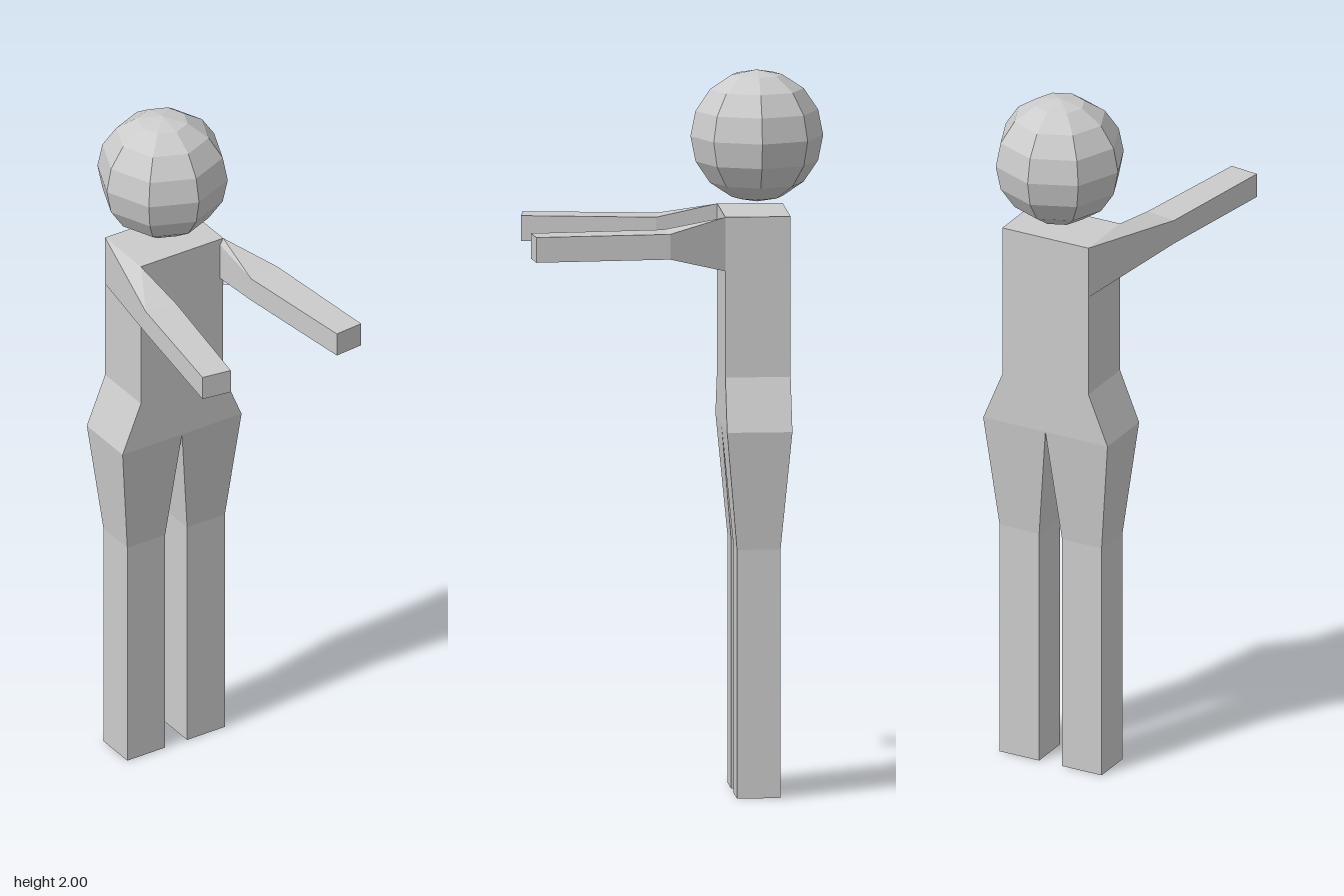
import * as THREE from 'three';

const material = new THREE.MeshStandardMaterial({ color: 0xcccccc, flatShading: true });

// Skins four-cornered rings, each counter-clockwise seen from the far end
function loft(name, rings, capStart, capEnd) {
  const positions = [];
  const quad = (a, b, c, d) => positions.push(...a, ...b, ...c, ...a, ...c, ...d);
  for (let r = 0; r < rings.length - 1; r++) {
    for (let i = 0; i < 4; i++) {
      const j = (i + 1) % 4;
      quad(rings[r][i], rings[r][j], rings[r + 1][j], rings[r + 1][i]);
    }
  }
  if (capStart) quad(...[...rings[0]].reverse());
  if (capEnd) quad(...rings[rings.length - 1]);
  const geometry = new THREE.BufferGeometry();
  geometry.setAttribute('position', new THREE.Float32BufferAttribute(positions, 3));
  geometry.computeVertexNormals();
  const mesh = new THREE.Mesh(geometry, material);
  mesh.name = name;
  return mesh;
}

// Horizontal rectangle, for parts built upward
const level = (y, x0, x1, z0, z1) => [[x0, y, z1], [x1, y, z1], [x1, y, z0], [x0, y, z0]];

// Upright arm section between an inner and an outer [x, z] corner
function armRing([xi, zi], [xo, zo], low, high) {
  const inner = [[xi, low, zi], [xi, high, zi]];
  const outer = [[xo, low, zo], [xo, high, zo]];
  const [a, b] = xi < xo ? [inner, outer] : [outer, inner];
  return [a[0], b[0], b[1], a[1]];
}

export function createModel() {
  const group = new THREE.Group();
  const centre = 0.015, back = -0.31, front = -0.13;

  // Head
  const head = new THREE.Mesh(new THREE.SphereGeometry(0.183, 8, 8), material);
  head.name = 'head';
  head.position.set(centre, 1.817, -0.228);
  group.add(head);

  // Torso, flaring to the hips
  group.add(loft('torso', [
    level(1.02, -0.18, 0.21, back, front),
    level(1.165, -0.12, 0.15, back, front),
    level(1.61, -0.12, 0.15, back, front),
  ], false, true));

  // Legs, tapering from the hips to the knees
  for (const side of [1, -1]) {
    const section = (y, inner, outer, z0, z1) => {
      const xs = [centre + side * inner, centre + side * outer];
      return level(y, Math.min(...xs), Math.max(...xs), z0, z1);
    };
    group.add(loft(side > 0 ? 'leftLeg' : 'rightLeg', [
      section(0, 0.036, 0.16, -0.28, -0.16),
      section(0.69, 0.036, 0.16, -0.28, -0.16),
      section(1.02, 0, 0.195, back, front),
    ], true, false));
  }

  // Arms, reaching forward from the sides of the chest
  const arms = {
    leftArm: [[0.15, front], [0.15, back], [0.13, 0.04], [0.225, 0.028], [0.172, 0.408], [0.257, 0.4]],
    rightArm: [[-0.12, front], [-0.12, back], [-0.113, 0.04], [-0.205, 0.025], [-0.175, 0.407], [-0.26, 0.395]],
  };
  for (const [name, p] of Object.entries(arms)) {
    const shoulder = armRing(p[0], p[1], 1.46, 1.61);
    // The shoulder section lies flat on the chest side, so order it from the elbow's sense
    if (name === 'rightArm') {
      const [a, b, c, d] = shoulder;
      const isInnerFirst = a[2] === front;
      if (isInnerFirst) shoulder.splice(0, 4, b, a, d, c);
    }
    group.add(loft(name, [
      shoulder,
      armRing(p[2], p[3], 1.505, 1.575),
      armRing(p[4], p[5], 1.505, 1.575),
    ], false, true));
  }
  return group;
}
